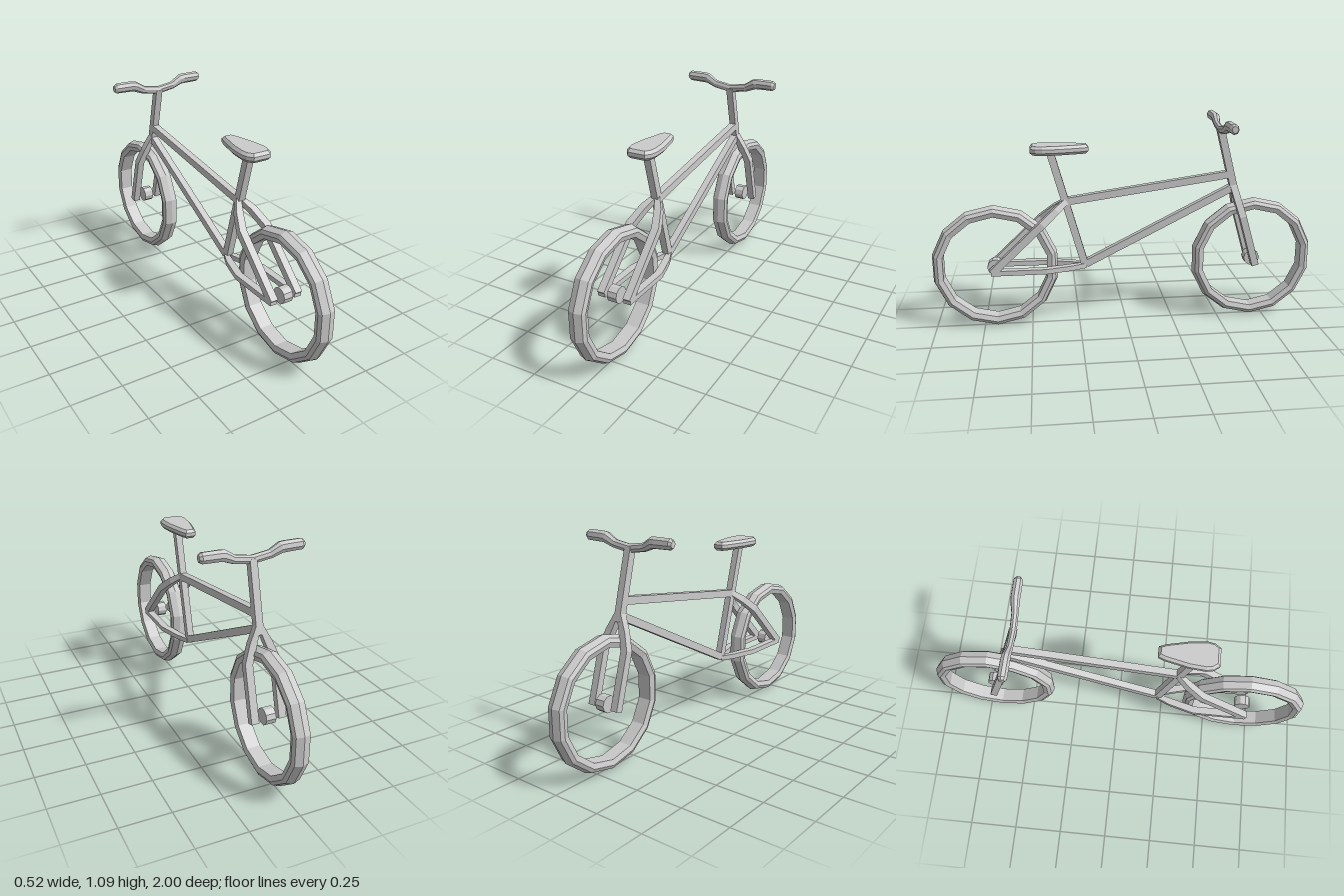
import * as THREE from 'three';

const material = new THREE.MeshStandardMaterial({ color: 0xcccccc, flatShading: true });
const V = (x, y, z) => new THREE.Vector3(x, y, z);

function add(parent, name, geometry) {
  const mesh = new THREE.Mesh(geometry, material);
  mesh.name = name;
  parent.add(mesh);
  return mesh;
}

// Sweeps a section along points; sizes hold [half width along ref, half height] per point.
function sweep(points, sizes, ref = V(1, 0, 0), sides = 4) {
  const pos = [], index = [];
  const stretch = 1 / Math.cos(Math.PI / sides);
  points.forEach((p, i) => {
    const into = p.clone().sub(points[Math.max(i - 1, 0)]).normalize();
    const out = points[Math.min(i + 1, points.length - 1)].clone().sub(p).normalize();
    const t = into.add(out).normalize();
    const n = ref.clone().addScaledVector(t, -ref.dot(t)).normalize();
    const b = t.clone().cross(n);
    const [w, h] = sizes[i] || sizes[0];
    for (let j = 0; j < sides; j++) {
      const a = (j + 0.5) / sides * Math.PI * 2;
      const v = p.clone().addScaledVector(n, Math.cos(a) * w * stretch)
        .addScaledVector(b, Math.sin(a) * h * stretch);
      pos.push(v.x, v.y, v.z);
    }
  });
  const last = (points.length - 1) * sides;
  for (let i = 0; i < last; i += sides) {
    for (let j = 0; j < sides; j++) {
      const k = (j + 1) % sides;
      index.push(i + j, i + k, i + sides + k, i + j, i + sides + k, i + sides + j);
    }
  }
  for (let j = 1; j < sides - 1; j++) {
    index.push(0, j + 1, j, last, last + j, last + j + 1);
  }
  const g = new THREE.BufferGeometry();
  g.setAttribute('position', new THREE.Float32BufferAttribute(pos, 3));
  g.setIndex(index);
  const flat = g.toNonIndexed();
  flat.computeVertexNormals();
  return flat;
}

// Hollow hoop tyre with a crowned tread, plus a hub disc
function wheel(name, z) {
  const group = new THREE.Group();
  group.name = name;
  const profile = [[0.272, -0.036], [0.298, -0.044], [0.316, -0.035], [0.328, 0],
    [0.316, 0.035], [0.298, 0.044], [0.272, 0.036], [0.272, -0.036]]
    .map(([r, y]) => new THREE.Vector2(r, y));
  add(group, 'tyre', new THREE.LatheGeometry(profile, 14, Math.PI / 2).rotateZ(Math.PI / 2));
  add(group, 'hub', new THREE.CylinderGeometry(0.042, 0.042, 0.05, 10).rotateZ(Math.PI / 2));
  group.position.set(0, 0.328, z);
  return group;
}

export function createModel() {
  const bike = new THREE.Group();
  bike.name = 'bicycle';
  bike.add(wheel('rearWheel', 0.68), wheel('frontWheel', -0.677));

  // Main frame tubes
  const tube = [[0.018, 0.019]];
  add(bike, 'seatTube', sweep([V(0, 0.312, 0.214), V(0, 0.93, 0.385)], tube));
  add(bike, 'topTube', sweep([V(0, 0.664, 0.315), V(0, 0.787, -0.55)], tube));
  add(bike, 'downTube', sweep([V(0, 0.325, 0.21), V(0, 0.715, -0.56)], tube));
  add(bike, 'steeringTube', sweep([V(0, 1.02, -0.488), V(0, 0.69, -0.573)], tube));

  // Stays and fork legs on both sides
  for (const s of [1, -1]) {
    const side = s > 0 ? 'left' : 'right';
    add(bike, side + 'SeatStay', sweep(
      [V(s * 0.008, 0.665, 0.31), V(s * 0.04, 0.625, 0.362), V(s * 0.07, 0.563, 0.435), V(s * 0.07, 0.316, 0.695)],
      [[0.012, 0.015], [0.018, 0.018], [0.019, 0.019], [0.019, 0.019]]));
    add(bike, side + 'ChainStay', sweep(
      [V(s * 0.008, 0.316, 0.215), V(s * 0.035, 0.316, 0.29), V(s * 0.07, 0.316, 0.42), V(s * 0.07, 0.316, 0.7)],
      [[0.012, 0.013], [0.018, 0.013], [0.019, 0.013], [0.019, 0.013]]));
    add(bike, side + 'ForkLeg', sweep(
      [V(s * 0.008, 0.725, -0.565), V(s * 0.04, 0.65, -0.583), V(s * 0.07, 0.57, -0.605), V(s * 0.07, 0.305, -0.682)],
      [[0.012, 0.018], [0.018, 0.018], [0.019, 0.018], [0.019, 0.018]]));
  }

  // Handlebar with thicker, bevelled grips
  const half = [[0, 1.017], [0.09, 1.031], [0.14, 1.056], [0.16, 1.058], [0.245, 1.059], [0.258, 1.059]];
  const thick = [[0.02, 0.016], [0.02, 0.016], [0.026, 0.021], [0.026, 0.022], [0.025, 0.022], [0.016, 0.014]];
  const leanZ = y => -0.488 - (y - 1.017) * 0.15;
  const left = half.slice(1).reverse().map(([x, y]) => V(-x, y, leanZ(y)));
  add(bike, 'handlebar', sweep(
    [...left, ...half.map(([x, y]) => V(x, y, leanZ(y)))],
    [...thick.slice(1).reverse(), ...thick], V(0, 0.97, 0.25), 8));

  // Teardrop saddle with chamfered rims
  const edge = [[0.026, 0.19], [0.04, 0.225], [0.066, 0.34], [0.073, 0.42], [0.066, 0.455], [0.045, 0.483]];
  const outline = [...edge, ...edge.map(([x, z]) => [-x, z]).reverse()];
  const shape = new THREE.Shape(outline.map(([x, z]) => new THREE.Vector2(x, z)));
  const saddle = new THREE.ExtrudeGeometry(shape, {
    depth: 0.018, bevelThickness: 0.014, bevelSize: 0.013, bevelOffset: -0.013, bevelSegments: 1,
  });
  add(bike, 'saddle', saddle.rotateX(Math.PI / 2).translate(0, 0.946, 0));

  return bike;
}
